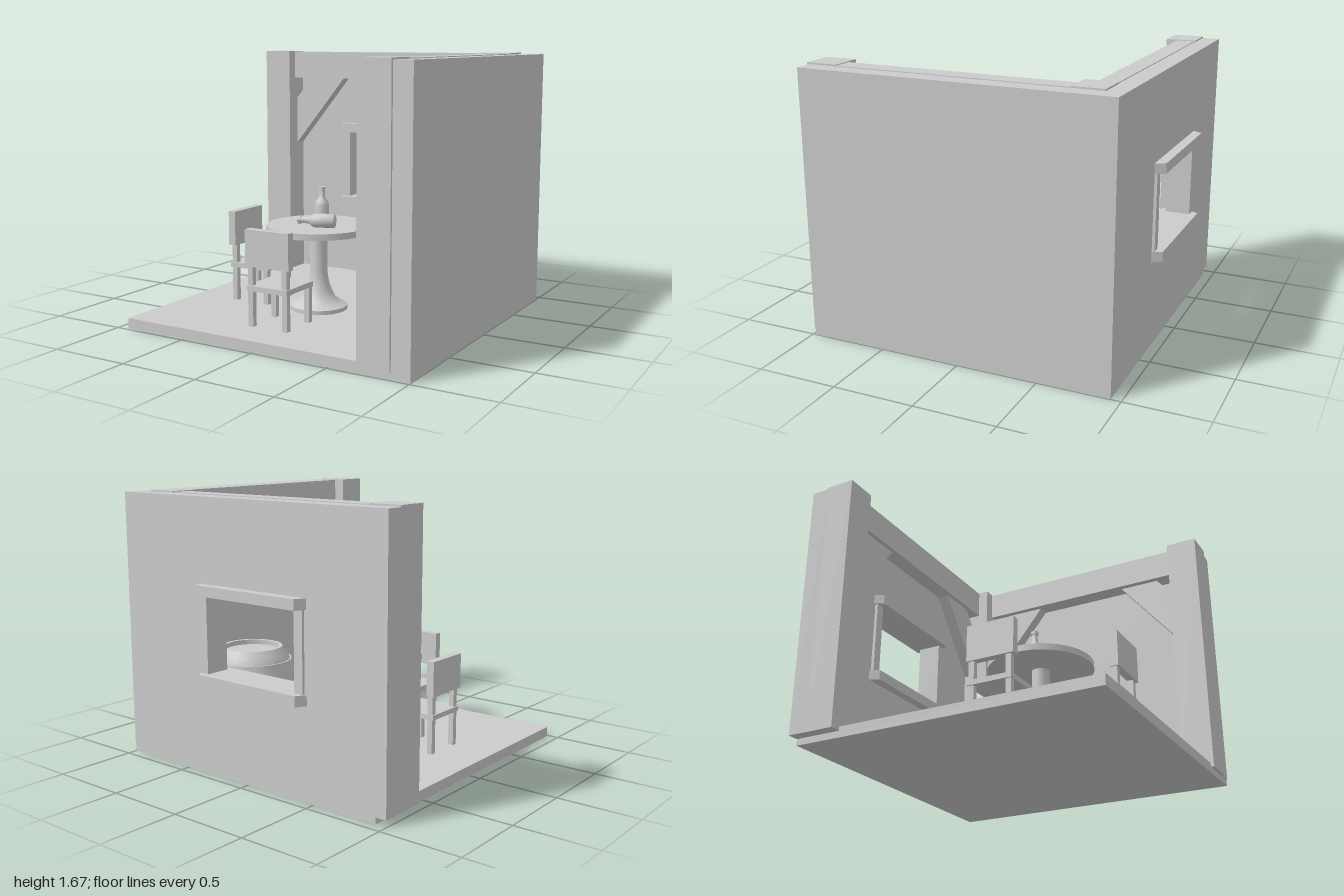
import * as THREE from 'three';
import { toCreasedNormals } from 'three/addons/utils/BufferGeometryUtils.js';

const grey = new THREE.MeshStandardMaterial({ color: 0xcccccc });

function add(parent, name, geometry) {
  const mesh = new THREE.Mesh(geometry, grey);
  mesh.name = name;
  parent.add(mesh);
  return mesh;
}

// Box given by its extents along each axis
function box(parent, name, x0, x1, y0, y1, z0, z1) {
  const mesh = add(parent, name, new THREE.BoxGeometry(x1 - x0, y1 - y0, z1 - z0));
  mesh.position.set((x0 + x1) / 2, (y0 + y1) / 2, (z0 + z1) / 2);
  return mesh;
}

function lathe(parent, name, points, sides, crease = 0.6) {
  const geometry = new THREE.LatheGeometry(points.map(([r, y]) => new THREE.Vector2(r, y)), sides);
  return add(parent, name, toCreasedNormals(geometry, crease));
}

function extrude(points, depth, hole) {
  const toVectors = (list) => list.map(([x, y]) => new THREE.Vector2(x, y));
  const shape = new THREE.Shape(toVectors(points));
  if (hole) shape.holes.push(new THREE.Path(toVectors(hole)));
  return new THREE.ExtrudeGeometry(shape, { depth, bevelEnabled: false });
}

function rect(x0, x1, y0, y1) {
  return [[x0, y0], [x1, y0], [x1, y1], [x0, y1]];
}

// Diagonal brace in the corner below a beam; side +1 reaches toward local +x
function brace(parent, side) {
  const points = [[0, 1.0], [0.4, 1.485], [0.135, 1.485], [0, 1.33]].map(([x, y]) => [x * side, y]);
  return add(parent, 'brace', extrude(points, 0.08));
}

function createRoom() {
  const room = new THREE.Group();
  room.name = 'room';
  box(room, 'floor', -0.93, 0.997, 0, 0.065, -0.938, 0.98);
  box(room, 'sideWall', 0.88, 1, 0.04, 1.66, -0.94, 0.985);

  // Back wall with the window opening
  const wall = extrude(rect(-1, 0.88, 0.04, 1.66), 0.12, rect(-0.41, 0.315, 0.6, 1.11));
  add(room, 'backWall', wall).position.z = -0.94;

  // Posts and beams
  box(room, 'backOuterPost', -1, -0.8, 0.04, 1.67, -0.83, -0.64);
  box(room, 'cornerPost', 0.685, 0.885, 0.04, 1.67, -0.83, -0.64);
  box(room, 'frontPost', 0.685, 0.885, 0.04, 1.67, 0.8, 1);
  box(room, 'backBeam', -0.8, 0.685, 1.48, 1.665, -0.825, -0.71);
  box(room, 'sideBeam', 0.76, 0.885, 1.48, 1.665, -0.64, 0.8);

  // Braces on the back wall, then on the side wall
  brace(room, 1).position.set(-0.8, 0, -0.82);
  brace(room, -1).position.set(0.685, 0, -0.82);
  for (const [side, z] of [[1, 0.8], [-1, -0.64]]) {
    const mesh = brace(room, side);
    mesh.rotation.y = Math.PI / 2;
    mesh.position.set(0.8, 0, z);
  }
  return room;
}

function createWindow() {
  const frame = new THREE.Group();
  frame.name = 'windowFrame';
  // Lintel and sill with bevelled ends, outlined in plan
  const plan = [[-0.46, 0.82], [-0.43, 0.76], [0.33, 0.76], [0.36, 0.82],
    [0.36, 0.94], [0.325, 1], [-0.425, 1], [-0.46, 0.94]];
  for (const [name, y] of [['sill', 0.56], ['lintel', 1.092]]) {
    const mesh = add(frame, name, extrude(plan, 0.063));
    mesh.rotation.x = -Math.PI / 2;
    mesh.position.y = y;
  }
  box(frame, 'leftJamb', 0.29, 0.35, 0.62, 1.095, -0.957, -0.8);
  box(frame, 'rightJamb', -0.445, -0.385, 0.62, 1.095, -0.957, -0.8);
  return frame;
}

function createTable() {
  const table = new THREE.Group();
  table.name = 'table';
  add(table, 'tableTop', new THREE.CylinderGeometry(0.33, 0.33, 0.04, 40)).position.y = 0.585;
  lathe(table, 'pedestal', [[0, 0.06], [0.182, 0.06], [0.182, 0.09], [0.15, 0.105], [0.108, 0.135],
    [0.085, 0.18], [0.065, 0.235], [0.055, 0.3], [0.055, 0.57]], 24);
  table.position.set(-0.05, 0, 0.18);
  return table;
}

// Chair with its back toward local +z
function createChair() {
  const chair = new THREE.Group();
  chair.name = 'chair';
  box(chair, 'seat', -0.15, 0.135, 0.285, 0.317, -0.145, 0.145);
  box(chair, 'backrest', -0.155, 0.15, 0.433, 0.655, 0.097, 0.147);
  for (const x of [-0.145, 0.095]) {
    box(chair, 'frontLeg', x, x + 0.035, 0.06, 0.29, -0.14, -0.105);
    box(chair, 'backLeg', x, x + 0.035, 0.06, 0.44, 0.1, 0.135);
  }
  return chair;
}

function createBarrel() {
  const barrel = new THREE.Group();
  barrel.name = 'barrel';
  lathe(barrel, 'staves', [[0, 0.062], [0.215, 0.062], [0.24, 0.1], [0.256, 0.18], [0.268, 0.315],
    [0.268, 0.38], [0.256, 0.515], [0.243, 0.595], [0.22, 0.635], [0.195, 0.675],
    [0.172, 0.675], [0.172, 0.645], [0, 0.645]], 24);
  // Metal hoops: bottom height, top height and radii
  for (const [y0, y1, r0, r1] of [[0.1, 0.18, 0.252, 0.266], [0.315, 0.38, 0.276, 0.276],
    [0.515, 0.595, 0.266, 0.254]]) {
    lathe(barrel, 'hoop', [[r0 - 0.02, y0], [r0, y0], [r1, y1], [r1 - 0.02, y1]], 24);
  }
  barrel.position.set(0.47, 0, -0.4);
  return barrel;
}

function createBottle() {
  const bottle = new THREE.Group();
  bottle.name = 'bottle';
  lathe(bottle, 'glass', [[0, 0], [0.038, 0], [0.044, 0.006], [0.044, 0.125], [0.038, 0.142],
    [0.02, 0.165], [0.018, 0.215], [0.024, 0.216], [0.024, 0.235], [0, 0.235]], 16, 0.8);
  return bottle;
}

export function createModel() {
  const model = new THREE.Group();
  model.name = 'tavernCorner';

  const frontChair = createChair();
  frontChair.position.set(-0.05, 0, 0.61);
  const sideChair = createChair();
  sideChair.rotation.y = -Math.PI / 2;
  sideChair.position.set(-0.505, 0, 0.165);

  // One bottle stands, the other lies on the table
  const standing = createBottle();
  standing.position.set(-0.05, 0.605, 0.14);
  const lying = createBottle();
  lying.position.set(0.105, 0.648, 0.237);
  lying.quaternion.setFromUnitVectors(new THREE.Vector3(0, 1, 0),
    new THREE.Vector3(-0.94, 0, 0.34).normalize());

  model.add(createRoom(), createWindow(), createTable(), frontChair, sideChair,
    createBarrel(), standing, lying);
  return model;
}
